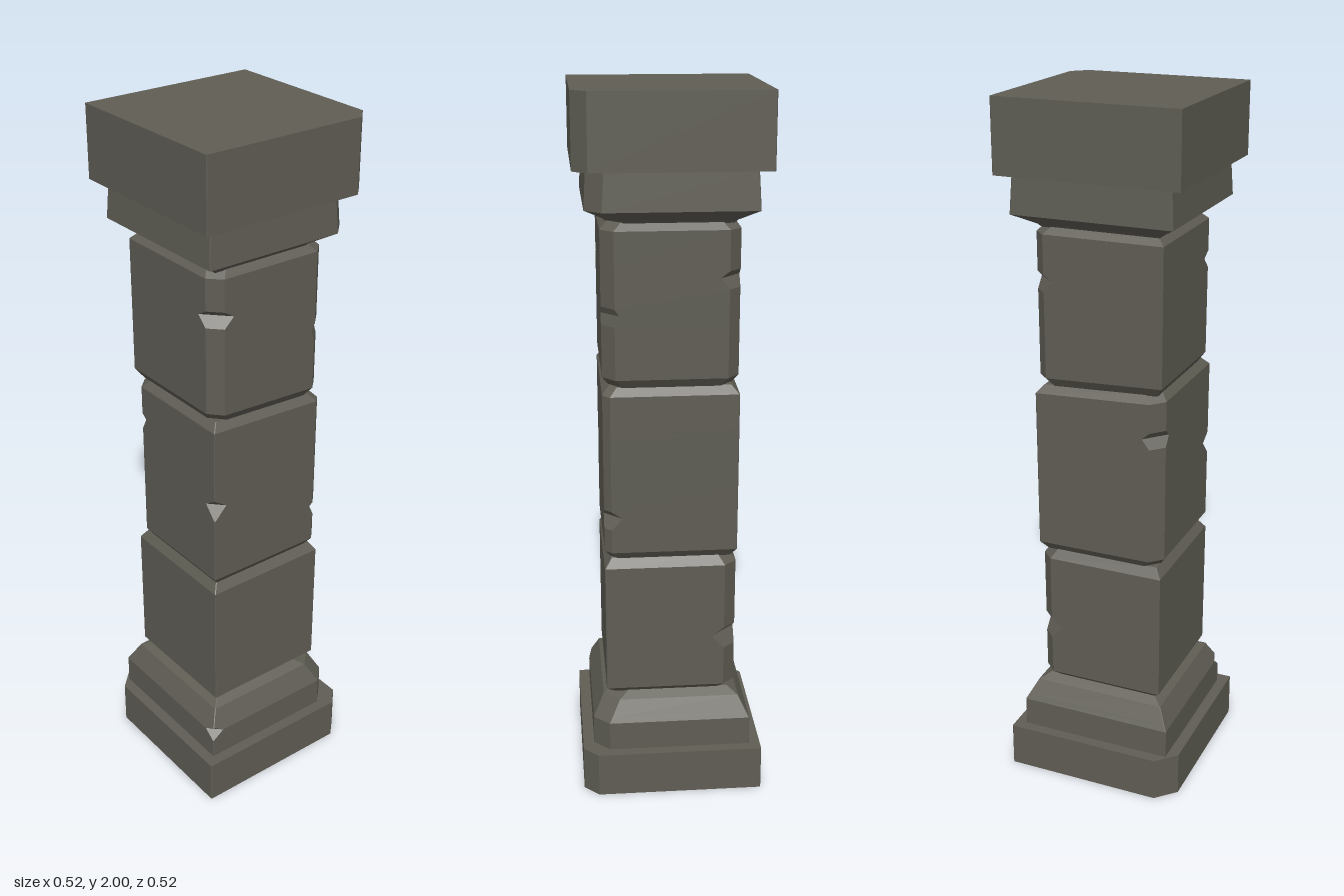
import * as THREE from 'three';

const stone = new THREE.MeshStandardMaterial({ color: 0x5f5d54, flatShading: true });

// Half-size of a block at height y, read from its [y, half] profile
function halfAt(profile, y) {
  for (let i = 1; i < profile.length; i++) {
    const [y0, h0] = profile[i - 1], [y1, h1] = profile[i];
    if (y <= y1) return h0 + (h1 - h0) * (y - y0) / (y1 - y0);
  }
  return profile[profile.length - 1][1];
}

// Square stone stacked from eight-sided rings.
// cuts: bevel of the corners (+x+z, +x-z, -x-z, -x+z)
// chips: [corner, y, depth, reach]; tilt: slope of [bottom, top] along z
function makeStone(name, { profile, cuts = [0, 0, 0, 0], chips = [], tilt = [0, 0] }) {
  const bottom = profile[0][0], top = profile[profile.length - 1][0];
  const levels = profile.map(p => p[0]);
  for (const [, y, , reach] of chips) levels.push(y - reach, y - reach * 0.3, y, y + reach * 0.6);
  levels.sort((a, b) => a - b);

  const rings = levels.map(y => {
    const h = halfAt(profile, y), ring = [];
    const t = (y - bottom) / (top - bottom);
    const slope = tilt[0] + (tilt[1] - tilt[0]) * t;
    for (let k = 0; k < 4; k++) {
      let c = Math.max(cuts[k], 0.002);
      for (const [corner, cy, depth, reach] of chips) {
        const span = y < cy ? reach : reach * 0.6;
        if (corner === k) c += depth * Math.max(0, 1 - Math.abs(y - cy) / span);
      }
      for (let [x, z] of [[h - c, h], [h, h - c]]) {
        for (let r = 0; r < k; r++) [x, z] = [z, -x];
        ring.push([x, y + slope * z, z]);
      }
    }
    return ring;
  });

  const pos = [];
  const tri = (a, b, c) => pos.push(...a, ...b, ...c);
  for (let j = 1; j < rings.length; j++) {
    const lo = rings[j - 1], hi = rings[j];
    for (let i = 0; i < 8; i++) {
      const n = (i + 1) % 8;
      tri(lo[i], lo[n], hi[n]);
      tri(lo[i], hi[n], hi[i]);
    }
  }
  const first = rings[0], last = rings[rings.length - 1];
  for (let i = 1; i < 7; i++) {
    tri(last[0], last[i], last[i + 1]);
    tri(first[0], first[i + 1], first[i]);
  }
  const geometry = new THREE.BufferGeometry();
  geometry.setAttribute('position', new THREE.Float32BufferAttribute(pos, 3));
  geometry.computeVertexNormals();
  const mesh = new THREE.Mesh(geometry, stone);
  mesh.name = name;
  return mesh;
}

export function createModel() {
  const column = new THREE.Group();
  column.name = 'stoneColumn';
  column.add(
    // Square foot slab
    makeStone('plinth', {
      profile: [[0, 0.258], [0.13, 0.258]],
      cuts: [0, 0.042, 0, 0.055],
    }),
    // Sloped moulding above the slab
    makeStone('baseMoulding', {
      profile: [[0.13, 0.226], [0.215, 0.226], [0.275, 0.195], [0.292, 0.167]],
      cuts: [0, 0.045, 0, 0],
      chips: [[0, 0.215, 0.035, 0.025]],
    }),
    // Three worn shaft blocks with bevelled joints
    makeStone('lowerShaftBlock', {
      profile: [[0.288, 0.165], [0.308, 0.186], [0.686, 0.187], [0.714, 0.168]],
      cuts: [0, 0, 0.034, 0],
      chips: [[2, 0.465, 0.035, 0.04]],
    }),
    makeStone('middleShaftBlock', {
      profile: [[0.71, 0.168], [0.735, 0.186], [1.2, 0.187], [1.222, 0.167]],
      cuts: [0, 0.02, 0, 0.035],
      chips: [[0, 0.968, 0.038, 0.04], [1, 0.84, 0.03, 0.035], [3, 1.1, 0.022, 0.03]],
      tilt: [0, 0.05],
    }),
    makeStone('upperShaftBlock', {
      profile: [[1.218, 0.167], [1.246, 0.186], [1.64, 0.187], [1.66, 0.167]],
      cuts: [0.035, 0.035, 0.032, 0],
      chips: [[0, 1.53, 0.03, 0.03], [1, 1.42, 0.012, 0.03], [2, 1.515, 0.025, 0.03]],
      tilt: [0.05, 0],
    }),
    // Flared capital and top slab
    makeStone('capital', {
      profile: [[1.655, 0.167], [1.664, 0.175], [1.695, 0.228], [1.8, 0.222]],
      cuts: [0, 0.045, 0, 0],
    }),
    makeStone('topSlab', {
      profile: [[1.8, 0.258], [2, 0.258]],
      cuts: [0, 0.04, 0, 0],
    }),
  );
  return column;
}
